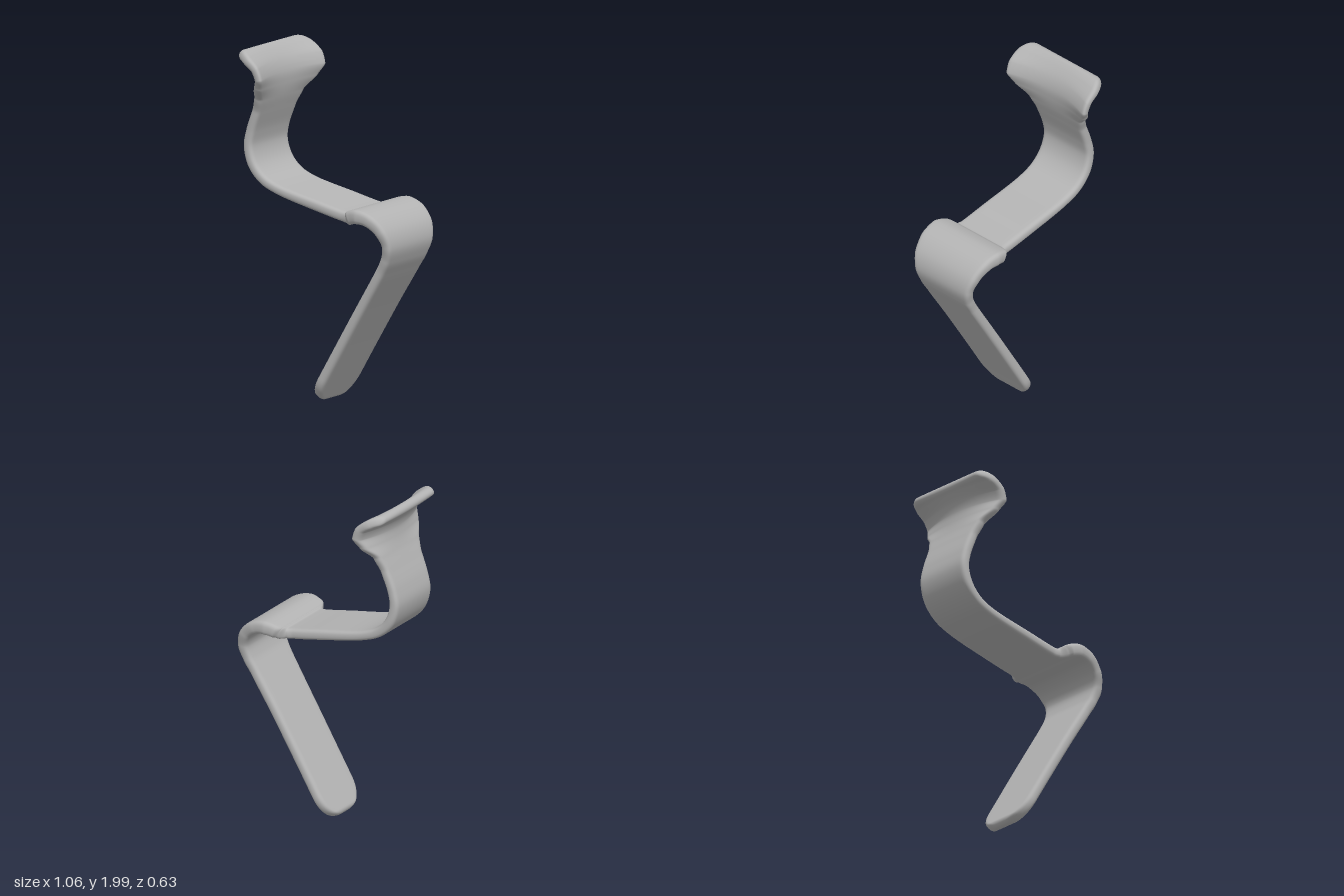
import * as THREE from 'three';

// Stations along the band from foot to head:
// [x, y, half width, half thickness, forward bow of the side edges]
const STATIONS = [
  [-0.058, 0.008, 0.18, 0.03, 0],
  [0.1, 0.272, 0.18, 0.03, 0],
  [0.29, 0.585, 0.182, 0.03, 0],
  [0.43, 0.81, 0.188, 0.03, 0],
  [0.475, 0.89, 0.198, 0.03, 0],
  [0.496, 0.97, 0.215, 0.031, 0],
  [0.47, 1.05, 0.238, 0.034, 0],
  [0.4, 1.112, 0.256, 0.037, 0],
  [0.32, 1.13, 0.263, 0.041, 0],
  [0.26, 1.117, 0.252, 0.04, 0],
  [0.235, 1.105, 0.23, 0.037, 0],
  [0.21, 1.1, 0.195, 0.031, 0],
  [0.17, 1.104, 0.187, 0.031, 0],
  [0, 1.136, 0.187, 0.031, 0],
  [-0.3, 1.2, 0.185, 0.028, 0],
  [-0.4, 1.245, 0.185, 0.029, 0],
  [-0.47, 1.32, 0.185, 0.03, 0],
  [-0.5, 1.42, 0.183, 0.03, 0],
  [-0.485, 1.51, 0.182, 0.029, 0],
  [-0.44, 1.63, 0.186, 0.028, 0],
  [-0.41, 1.71, 0.212, 0.027, 0.006],
  [-0.393, 1.78, 0.28, 0.026, 0.04],
  [-0.39, 1.84, 0.312, 0.026, 0.06],
  [-0.41, 1.9, 0.316, 0.027, 0.056],
  [-0.45, 1.95, 0.314, 0.029, 0.032],
  [-0.492, 1.984, 0.305, 0.03, 0],
];
const ROWS = 360, FLAT = 14, ARC = 10;

// Fraction of the full size left at distance d from a rounded end
function rounding(d, radius, power = 2) {
  if (d >= radius) return 1;
  return Math.pow(1 - Math.pow(1 - d / radius, power), 1 / power);
}

// Closed outline of the band: two flat faces joined by rounded edges
function section(w, t) {
  const r = Math.min(0.03, w * 0.9), pts = [];
  const soft = (v) => Math.sign(v) * Math.pow(Math.abs(v), 0.8);
  for (const side of [1, -1]) {
    for (let i = 0; i < FLAT; i++) pts.push([side * (w - r) * (1 - 2 * i / FLAT), side * t]);
    for (let i = 0; i < ARC; i++) {
      const a = Math.PI * i / ARC;
      pts.push([-side * (w - r + r * soft(Math.sin(a))), side * t * soft(Math.cos(a))]);
    }
  }
  return pts;
}

function bandGeometry() {
  const path = new THREE.CatmullRomCurve3(STATIONS.map((s) => new THREE.Vector3(s[0], s[1], 0)));
  const last = STATIONS.length - 1;
  const size = (u, k) => {
    const f = u * last, i = Math.min(Math.floor(f), last - 1);
    const s = THREE.MathUtils.smoothstep(f - i, 0, 1) * 0.4 + (f - i) * 0.6;
    return THREE.MathUtils.lerp(STATIONS[i][k], STATIONS[i + 1][k], s);
  };

  // Rows crowd toward both ends so the rounded tips stay smooth
  const us = [], centers = [], along = [0];
  for (let i = 0; i <= ROWS; i++) {
    us.push(0.5 - 0.5 * Math.cos(Math.PI * i / ROWS));
    centers.push(path.getPoint(us[i]));
    if (i) along.push(along[i - 1] + centers[i].distanceTo(centers[i - 1]));
  }
  const total = along[ROWS];

  const pos = [], index = [], n = 2 * (FLAT + ARC);
  for (let i = 0; i <= ROWS; i++) {
    const u = us[i], c = centers[i], tan = path.getTangent(u);
    const foot = along[i], head = total - along[i];
    let w = size(u, 2);
    w -= 0.15 * (1 - rounding(foot, 0.16, 2.2));
    w -= 0.07 * (1 - rounding(head, 0.08));
    const t = size(u, 3) * rounding(Math.min(foot, head), 0.03);
    const bow = size(u, 4);
    for (const [z, h] of section(w, t)) {
      pos.push(c.x + tan.y * h + bow * (z / 0.3) ** 2, c.y - tan.x * h, z);
    }
  }
  for (let i = 0; i < ROWS; i++) {
    for (let j = 0; j < n; j++) {
      const a = i * n + j, b = i * n + (j + 1) % n;
      index.push(a, b, a + n, b, b + n, a + n);
    }
  }
  const geo = new THREE.BufferGeometry();
  geo.setAttribute('position', new THREE.Float32BufferAttribute(pos, 3));
  geo.setIndex(index);
  geo.computeVertexNormals();
  return geo;
}

export function createModel() {
  const model = new THREE.Group();
  model.name = 'bentBandClip';
  const grey = new THREE.MeshStandardMaterial({ color: 0xb4b4b4 });
  grey.name = 'plain grey';

  // One continuous band: leg, rolled knee, seat, back and cupped head
  const band = new THREE.Mesh(bandGeometry(), grey);
  band.name = 'bentBand';
  model.add(band);
  return model;
}
